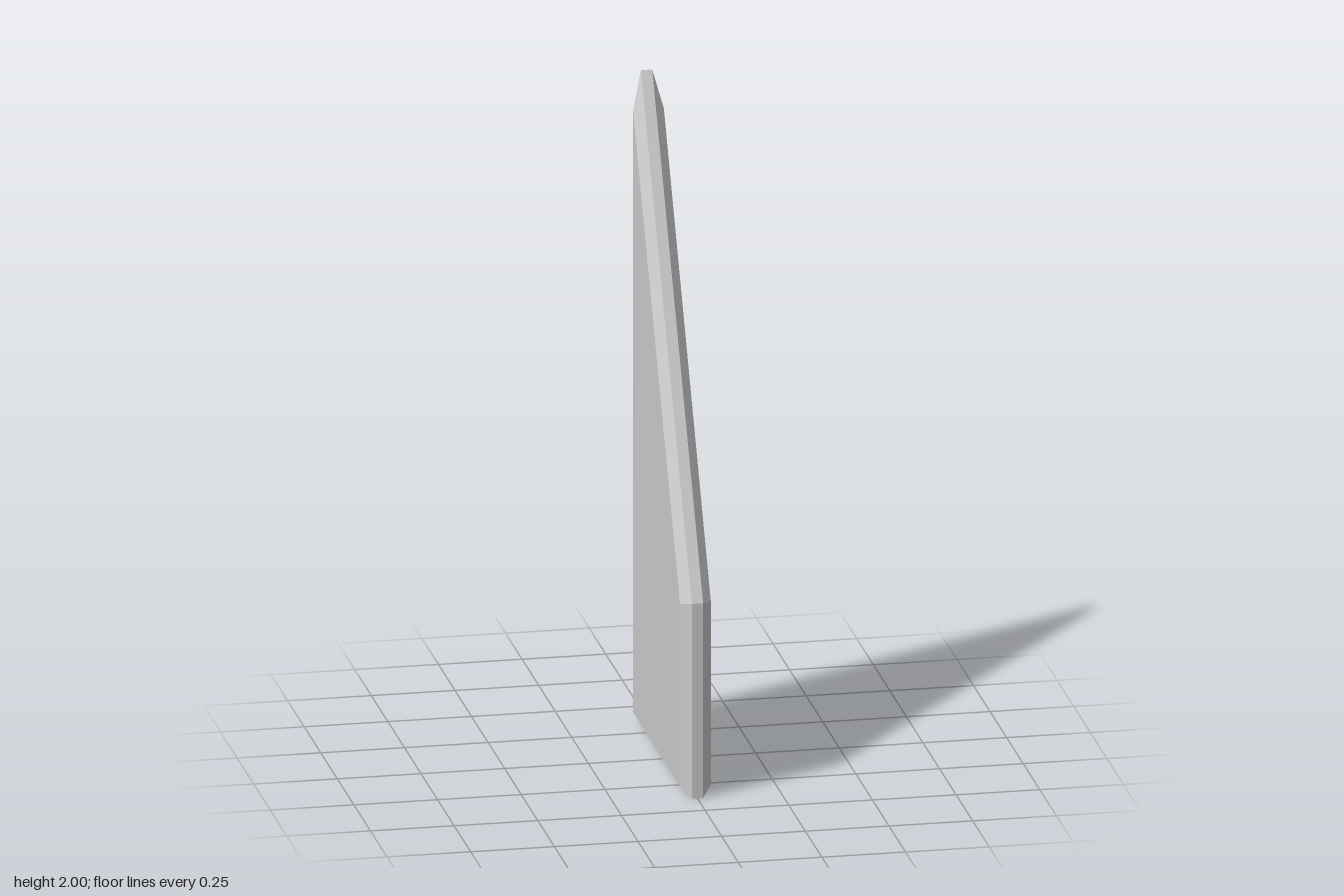
import * as THREE from 'three';

// Corner outlines as [z, y], counter-clockwise seen from +x
const rim = [[0.384, 0], [-0.384, 0], [-0.384, 2], [0.384, 0.6]];
const face = [[0.355, 0.03], [-0.355, 0.03], [-0.355, 1.887], [0.355, 0.593]];

// Joins outlines placed along x into a closed, hard-edged solid
function loftAlongX(sections) {
  const positions = [];
  const index = [];
  const n = sections[0].outline.length;
  for (const { x, outline } of sections) {
    for (const [z, y] of outline) positions.push(x, y, z);
  }
  // Bevels and rim
  for (let s = 0; s < sections.length - 1; s++) {
    for (let i = 0; i < n; i++) {
      const a = s * n + i;
      const b = s * n + (i + 1) % n;
      index.push(a, b, b + n, a, b + n, a + n);
    }
  }
  // Flat side faces
  const last = (sections.length - 1) * n;
  for (let i = 1; i < n - 1; i++) {
    index.push(0, i + 1, i);
    index.push(last, last + i, last + i + 1);
  }
  const indexed = new THREE.BufferGeometry();
  indexed.setAttribute('position', new THREE.Float32BufferAttribute(positions, 3));
  indexed.setIndex(index);
  const geometry = indexed.toNonIndexed();
  geometry.computeVertexNormals();
  return geometry;
}

export function createModel() {
  const group = new THREE.Group();
  group.name = 'slantedPanel';

  // Upright panel with a sloping top and chamfered edges all round
  const panel = new THREE.Mesh(
    loftAlongX([
      { x: -0.046, outline: face },
      { x: -0.017, outline: rim },
      { x: 0.017, outline: rim },
      { x: 0.046, outline: face },
    ]),
    new THREE.MeshStandardMaterial({ color: 0xcccccc, flatShading: true })
  );
  panel.name = 'panel';
  group.add(panel);

  return group;
}
